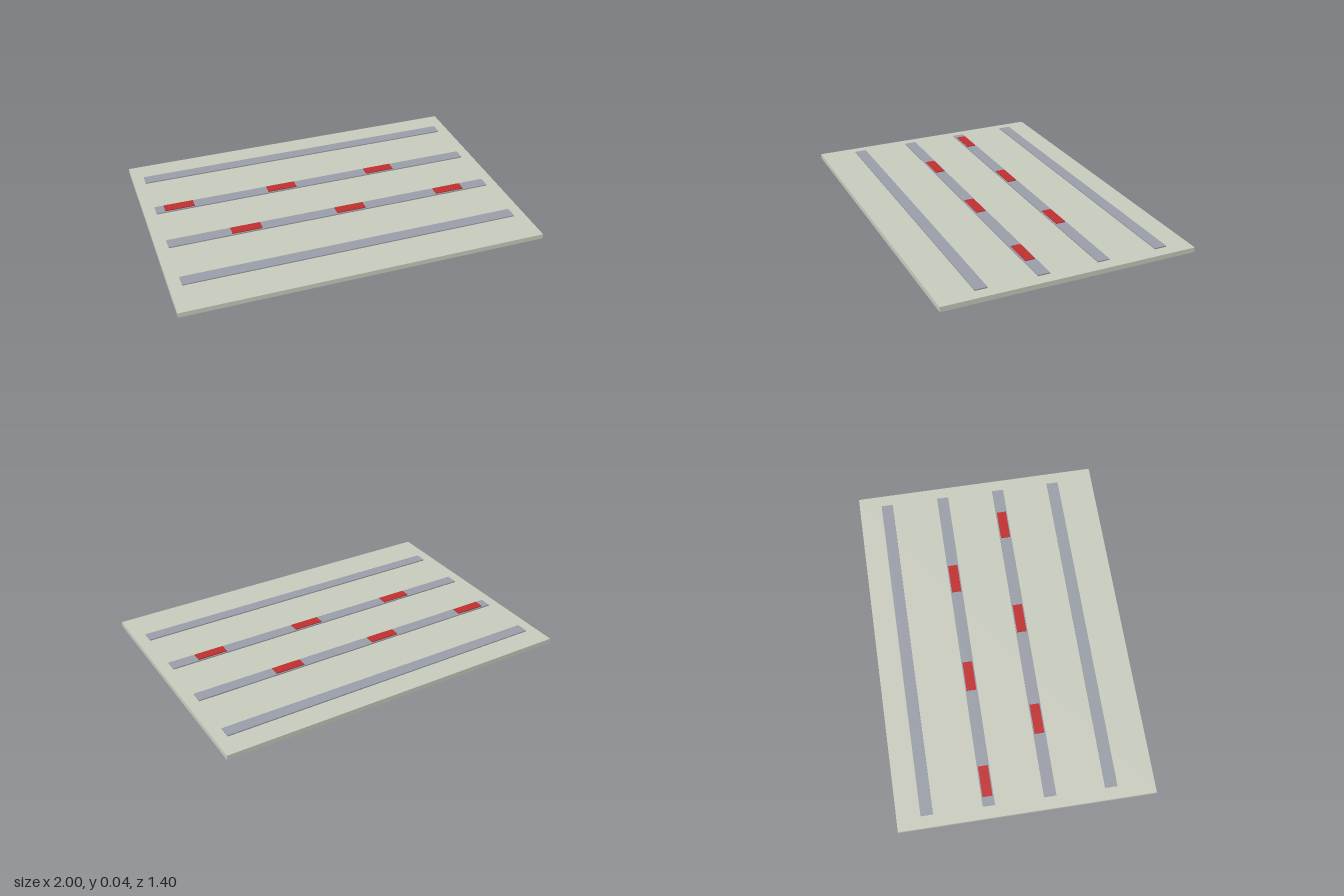
import * as THREE from 'three';

export function createModel() {
  const group = new THREE.Group();
  const slabMat = new THREE.MeshStandardMaterial({ color: 0xc8ccbe });
  const stripMat = new THREE.MeshStandardMaterial({ color: 0x9a9ea8 });
  const redMat = new THREE.MeshStandardMaterial({ color: 0xc03030 });

  // box standing on the height `base`
  function addBox(name, mat, [w, h, d], x, base, z) {
    const mesh = new THREE.Mesh(new THREE.BoxGeometry(w, h, d), mat);
    mesh.name = name;
    mesh.position.set(x, base + h / 2, z);
    group.add(mesh);
  }

  const slabTop = 0.027, stripHeight = 0.0067;

  // base plate
  addBox('basePlate', slabMat, [2, slabTop, 1.4], 0, 0, 0);

  // four long strips; the two inner ones carry staggered red blocks
  const rows = [
    { z: -0.537, blocks: [] },
    { z: -0.203, blocks: [-0.8, -0.2, 0.4] },
    { z: 0.13, blocks: [-0.5, 0.1, 0.7] },
    { z: 0.463, blocks: [] },
  ];
  rows.forEach(({ z, blocks }, i) => {
    addBox(`strip${i + 1}`, stripMat, [1.867, stripHeight, 0.067], 0, slabTop, z);
    blocks.forEach((x, j) =>
      addBox(`redBlock${i + 1}_${j + 1}`, redMat, [0.167, 0.005, 0.054], x, slabTop + stripHeight, z));
  });

  return group;
}
